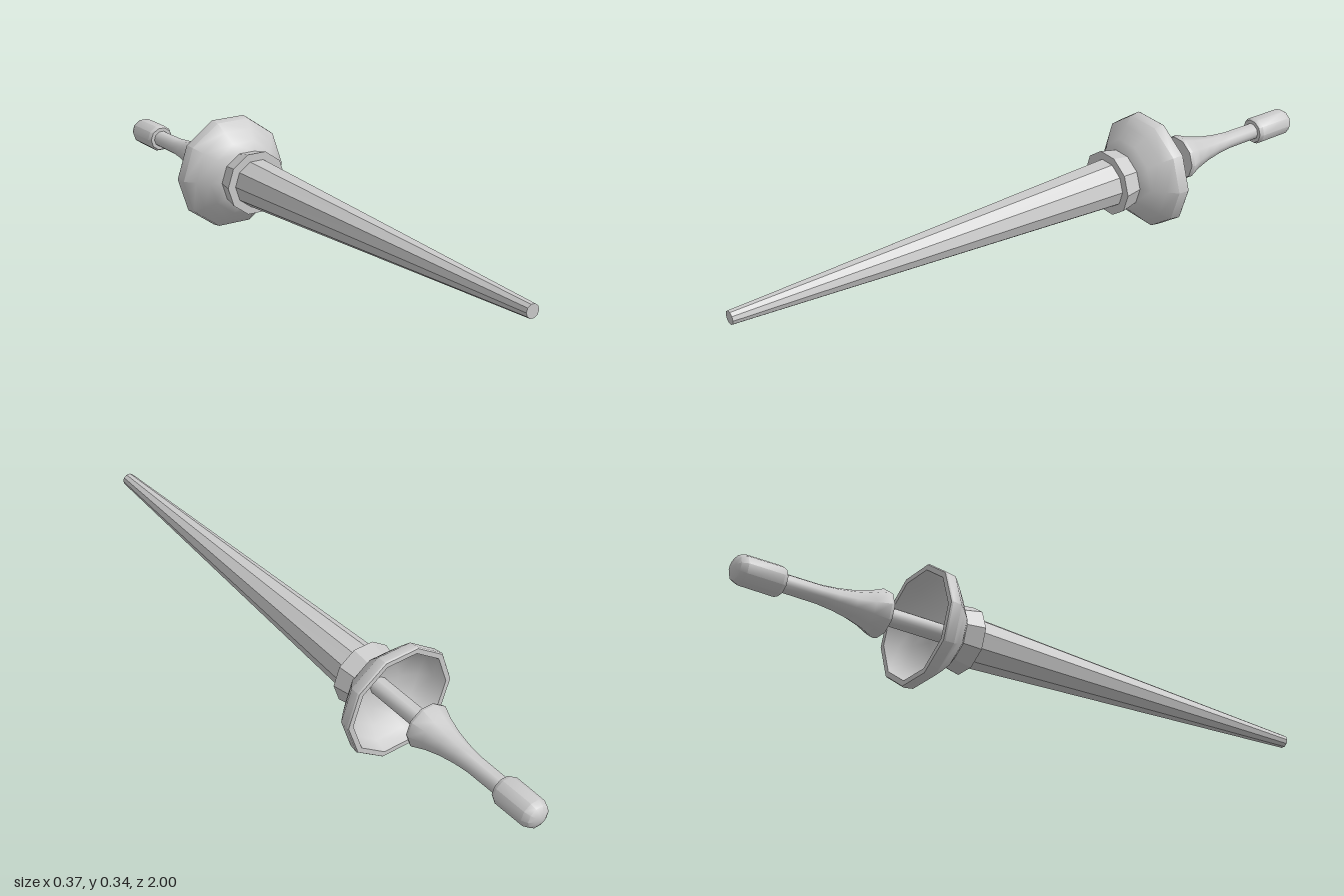
import * as THREE from 'three';
import { toCreasedNormals } from 'three/addons/utils/BufferGeometryUtils.js';

const SIDES = 10;
const material = new THREE.MeshStandardMaterial({ color: 0xcccccc });

// Turned part along z: profile is [radius, z] pairs running from back to front
function turned(name, profile, crease) {
  const points = profile.map(([r, z]) => new THREE.Vector2(r, z));
  const geometry = new THREE.LatheGeometry(points, SIDES, Math.PI / 2);
  geometry.rotateX(Math.PI / 2);
  geometry.scale(1, 0.972, 1);
  const mesh = new THREE.Mesh(toCreasedNormals(geometry, crease), material);
  mesh.name = name;
  return mesh;
}

export function createModel() {
  const lance = new THREE.Group();
  lance.name = 'lance';

  // Long tapering shaft with a blunt tip
  lance.add(turned('shaft', [[0, -0.27], [0.077, -0.27], [0.077, -0.26], [0.021, 1], [0, 1]], 0.5));

  // Collar between shaft and hand guard
  lance.add(turned('collar', [[0, -0.32], [0.09, -0.32], [0.103, -0.26], [0, -0.26]], 0.5));

  // Hollow bell-shaped hand guard, open to the back
  lance.add(turned('handGuard', [
    [0, -0.33], [0.075, -0.335], [0.12, -0.36], [0.15, -0.39], [0.165, -0.43],
    [0.181, -0.43], [0.184, -0.425], [0.18, -0.395], [0.153, -0.367],
    [0.12, -0.336], [0.09, -0.315], [0, -0.315],
  ], 0.7));

  // Thin rod joining guard and grip
  lance.add(turned('rod', [[0.028, -0.56], [0.028, -0.32]], 0.7));

  // Flared grip
  lance.add(turned('grip', [
    [0.027, -0.87], [0.028, -0.74], [0.033, -0.69], [0.042, -0.64], [0.056, -0.59],
    [0.073, -0.55], [0.07, -0.54], [0, -0.54],
  ], 0.7));

  // Rounded pommel
  lance.add(turned('pommel', [
    [0, -1], [0.02, -0.997], [0.036, -0.988], [0.044, -0.97], [0.045, -0.865], [0.039, -0.853], [0, -0.853],
  ], 0.7));

  lance.position.y = 0.17;
  const model = new THREE.Group();
  model.add(lance);
  return model;
}
